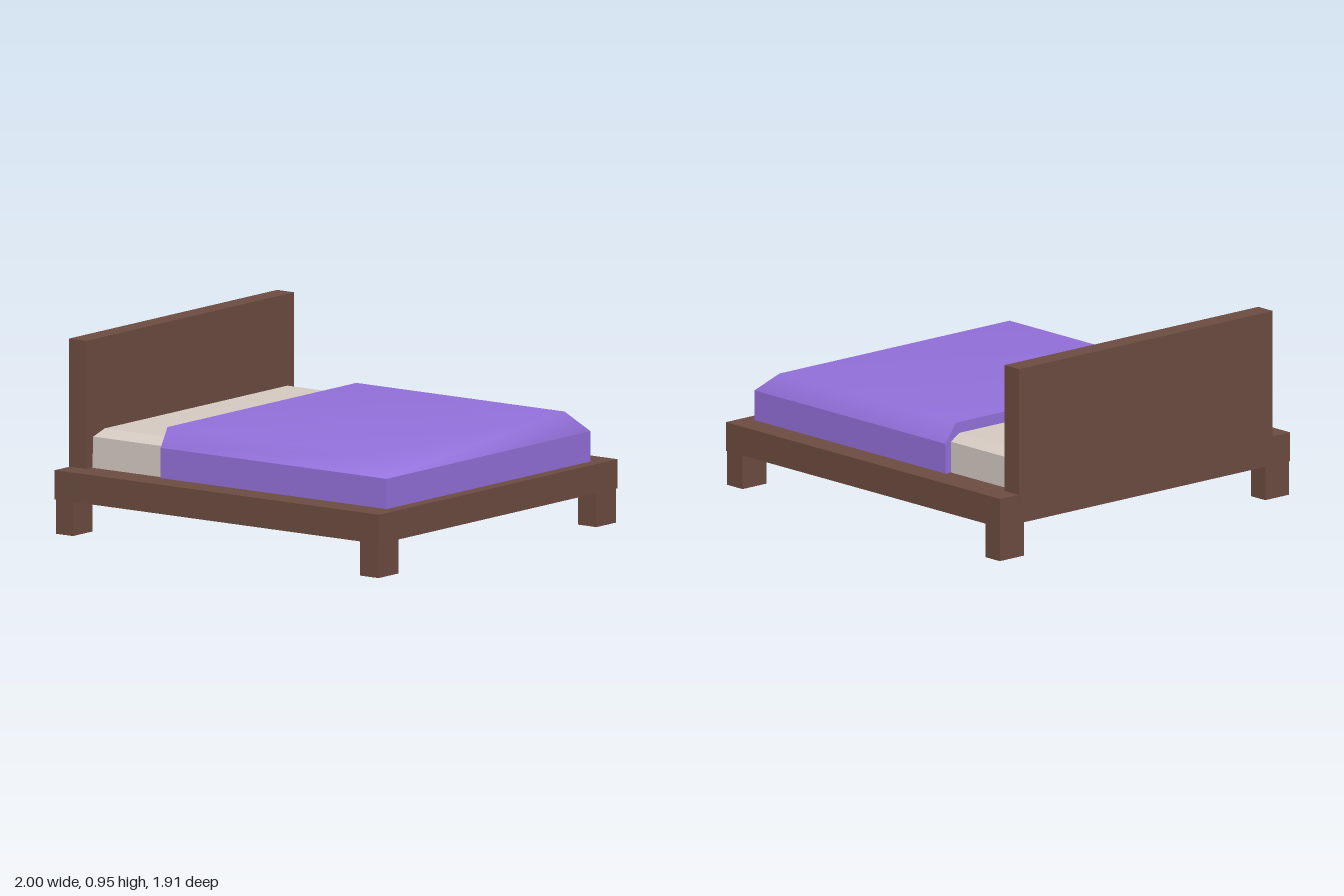
import * as THREE from 'three';
import { mergeVertices } from 'three/addons/utils/BufferGeometryUtils.js';

const brown = new THREE.MeshStandardMaterial({ name: 'dark wood', color: 0x6d4c41 });
const cream = new THREE.MeshStandardMaterial({ name: 'cream fabric', color: 0xd5cac2 });
const purple = new THREE.MeshStandardMaterial({ name: 'purple fabric', color: 0x9370db });

// Box given by its limits
function box(name, material, [x0, x1], [y0, y1], [z0, z1]) {
  const mesh = new THREE.Mesh(new THREE.BoxGeometry(x1 - x0, y1 - y0, z1 - z0), material);
  mesh.position.set((x0 + x1) / 2, (y0 + y1) / 2, (z0 + z1) / 2);
  mesh.name = name;
  return mesh;
}

// Corners of a level rectangle, counter-clockwise from above
const ring = (y, x0, x1, z0, z1) => [[x0, y, z1], [x1, y, z1], [x1, y, z0], [x0, y, z0]];

// Side faces between two rings; sides are 0 front, 1 foot, 2 back, 3 head
const band = (a, b, sides = [0, 1, 2, 3]) => sides.map((i) => {
  const j = (i + 1) % 4;
  return [a[i], a[j], b[j], b[i]];
});

// Mesh from four-cornered faces, either faceted or smooth
function faces(name, material, quads, smooth = false) {
  const points = quads.flatMap(([a, b, c, d]) => [a, b, c, a, c, d]).flat();
  let geometry = new THREE.BufferGeometry();
  geometry.setAttribute('position', new THREE.Float32BufferAttribute(points, 3));
  if (smooth) geometry = mergeVertices(geometry);
  geometry.computeVertexNormals();
  const mesh = new THREE.Mesh(geometry, material);
  mesh.name = name;
  return mesh;
}

export function createModel() {
  const bed = new THREE.Group();
  bed.name = 'bed';

  // Wooden frame and headboard
  bed.add(box('platform', brown, [-0.995, 1], [0.17, 0.315], [-0.955, 0.955]));
  bed.add(box('headboard', brown, [-1, -0.895], [0.25, 0.95], [-0.835, 0.835]));
  for (const [x0, x1] of [[-0.99, -0.885], [0.88, 0.995]]) {
    for (const side of [-1, 1]) {
      const z = [side * 0.795, side * 0.953].sort((a, b) => a - b);
      bed.add(box('leg', brown, [x0, x1], [0, 0.18], z));
    }
  }

  // Mattress with bevelled upper edges
  const m0 = ring(0.315, -0.89, 0.88, -0.79, 0.79);
  const m1 = ring(0.47, -0.885, 0.88, -0.79, 0.79);
  const m2 = ring(0.505, -0.86, 0.85, -0.735, 0.73);
  bed.add(faces('mattress', cream, [...band(m0, m1), ...band(m1, m2), m2, [...m0].reverse()]));

  // Blanket: flat walls, with a softly shaded top sloping down on three sides
  const b0 = ring(0.315, -0.455, 0.935, -0.825, 0.81);
  const b1 = ring(0.465, -0.455, 0.935, -0.825, 0.81);
  const b2 = ring(0.56, -0.455, 0.825, -0.76, 0.755);
  bed.add(faces('blanketSides', purple, [...band(b0, b1), ...band(b1, b2, [3]), [...b0].reverse()]));
  bed.add(faces('blanketTop', purple, [b2, ...band(b1, b2, [0, 1, 2])], true));

  return bed;
}
